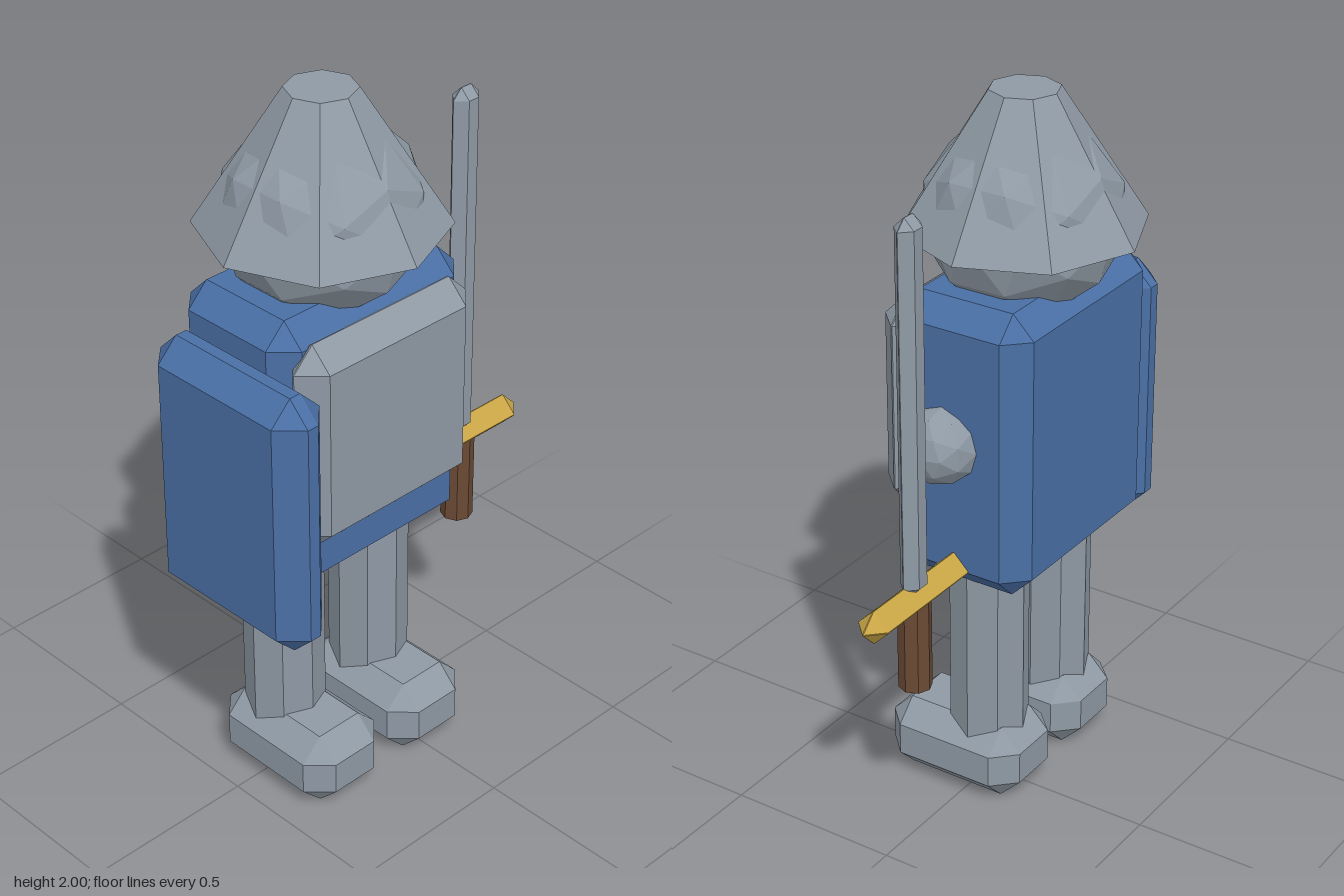
import * as THREE from 'three';
import { ConvexGeometry } from 'three/addons/geometries/ConvexGeometry.js';

const material = (name, color) => {
  const m = new THREE.MeshStandardMaterial({ color, flatShading: true });
  m.name = name;
  return m;
};

// Box with every edge cut at 45 degrees by c
function chamferBox(w, h, d, c) {
  const half = [w / 2, h / 2, d / 2];
  const points = [];
  for (const sx of [-1, 1]) for (const sy of [-1, 1]) for (const sz of [-1, 1]) {
    for (let axis = 0; axis < 3; axis++) {
      const p = half.map((v, i) => (i === axis ? v : v - c));
      points.push(new THREE.Vector3(p[0] * sx, p[1] * sy, p[2] * sz));
    }
  }
  return new ConvexGeometry(points);
}

export function createModel() {
  const steel = material('steel', 0x8f9aa5);
  const blue = material('blue', 0x4a6fa5);
  const gold = material('gold', 0xc9a646);
  const brown = material('brown', 0x6b4a35);

  const model = new THREE.Group();
  model.name = 'knight';
  const add = (parent, name, geometry, mat, x, y, z) => {
    const mesh = new THREE.Mesh(geometry, mat);
    mesh.name = name;
    mesh.position.set(x, y, z);
    parent.add(mesh);
    return mesh;
  };

  const cx = -0.14, cz = -0.016, bevel = 0.063;

  // Torso, chest plate and shield
  add(model, 'torso', chamferBox(0.66, 0.82, 0.41, bevel), blue, cx, 1.1, cz);
  add(model, 'chestPlate', chamferBox(0.605, 0.605, 0.13, bevel), steel, cx, 1.158, 0.194);
  add(model, 'shield', chamferBox(0.16, 0.76, 0.54, bevel), blue, -0.52, 1.035, 0.077);

  // Head and helmet
  add(model, 'head', new THREE.IcosahedronGeometry(0.272, 1), steel, cx, 1.66, cz);
  add(model, 'helmet', new THREE.CylinderGeometry(0.095, 0.333, 0.373, 8), steel, cx, 1.8135, cz);

  // Legs and feet
  for (const [side, s] of [['left', 1], ['right', -1]]) {
    const x = cx + s * 0.16;
    add(model, side + 'Leg', new THREE.CylinderGeometry(0.111, 0.111, 0.62, 8), steel, x, 0.44, cz);
    add(model, side + 'Foot', chamferBox(0.27, 0.22, 0.424, bevel), steel, x, 0.11, 0.048);
  }

  // Hand
  add(model, 'leftHand', new THREE.IcosahedronGeometry(0.108, 1), steel, 0.19, 1.117, 0.02);

  // Sword
  const sword = new THREE.Group();
  sword.name = 'sword';
  sword.position.set(0.374, 0, cz);
  add(sword, 'blade', chamferBox(0.094, 1.06, 0.06, 0.029), steel, 0, 1.3, 0);
  add(sword, 'crossguard', chamferBox(0.452, 0.095, 0.095, 0.046), gold, 0, 0.758, 0);
  add(sword, 'handle', new THREE.CylinderGeometry(0.046, 0.046, 0.27, 8), brown, 0, 0.623, 0);
  model.add(sword);

  return model;
}
